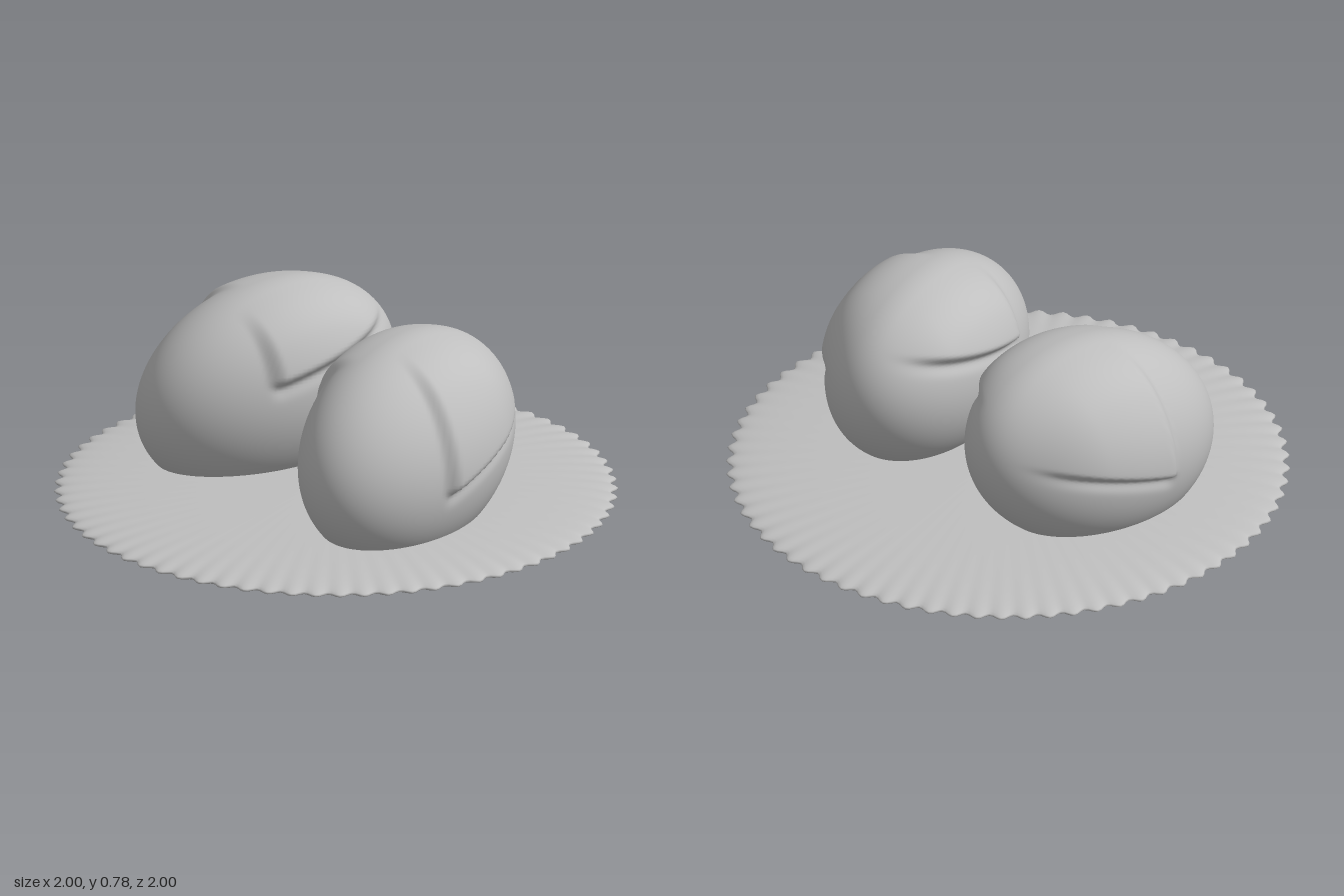
import * as THREE from 'three';
import { mergeVertices } from 'three/addons/utils/BufferGeometryUtils.js';

const { smoothstep } = THREE.MathUtils;

// Unit sphere whose vertices are moved by a rule, welded for seamless smooth normals
function shapedSphere(across, down, rule) {
  let geo = new THREE.SphereGeometry(1, across, down);
  geo.deleteAttribute('uv');
  geo.deleteAttribute('normal');
  geo = mergeVertices(geo, 1e-5);
  const pos = geo.attributes.position;
  const v = new THREE.Vector3();
  for (let i = 0; i < pos.count; i++) {
    rule(v.fromBufferAttribute(pos, i));
    pos.setXYZ(i, v.x, v.y, v.z);
  }
  geo.computeVertexNormals();
  return geo;
}

// Tilted egg with a raised hood over its upper back; side is +1 (left) or -1 (right)
function eggGeometry(side) {
  return shapedSphere(160, 110, (v) => {
    const a = v.x * side, b = v.y, c = v.z;
    let x = 0.32 * a - 0.04 * b + 0.0615 * c;
    let y = 0.39 * b;
    let z = -0.06 * b + 0.481 * c;

    // Hood: its lower edge rises to the back, its front edge runs up over the egg
    const outer = a > 0;
    const edgeY = (outer ? 0.34 - 0.33 * z : 0.54 - 0.25 * z) - 0.39;
    const edgeZ = outer ? 0.09 : 0.19;
    const above = smoothstep(y, edgeY - 0.015, edgeY + 0.02);
    const behind = 1 - smoothstep(z, edgeZ - 0.04, edgeZ + 0.015);
    const sideways = smoothstep(Math.abs(a), 0.15, 0.75);
    const fade = smoothstep(z, -0.48, -0.2);
    const lift = 0.034 * above * behind * sideways * fade;

    // Shallow groove just under the lower edge
    const groove = 0.01 * Math.exp(-(((y - edgeY + 0.02) / 0.025) ** 2)) * behind * sideways * fade;

    const n = new THREE.Vector3(a / 0.32, b / 0.39, c / 0.48).normalize();
    x += n.x * (lift - groove);
    y += n.y * (lift - groove) * 0.6;
    z += n.z * (lift - groove) * 0.6;
    v.set(side * (0.383 + x), 0.39 + y, z);
  });
}

// Thin lens-shaped plate with a fluted rim
function plateGeometry() {
  const flutes = 72;
  return shapedSphere(flutes * 6, 36, (v) => {
    const angle = Math.atan2(v.z, v.x);
    const r = Math.hypot(v.x, v.z);
    const flute = 0.987 + 0.013 * Math.cos(flutes * angle) * r * r;
    v.set(v.x * flute, 0.093 + v.y * 0.051, v.z * flute);
  });
}

export function createModel() {
  const model = new THREE.Group();
  model.name = 'eggsOnPlate';
  const grey = new THREE.MeshStandardMaterial({ color: 0xbfbfbf });
  grey.name = 'plain grey';

  const add = (name, geo) => {
    const mesh = new THREE.Mesh(geo, grey);
    mesh.name = name;
    model.add(mesh);
  };
  add('plate', plateGeometry());
  add('leftEgg', eggGeometry(1));
  add('rightEgg', eggGeometry(-1));
  return model;
}
